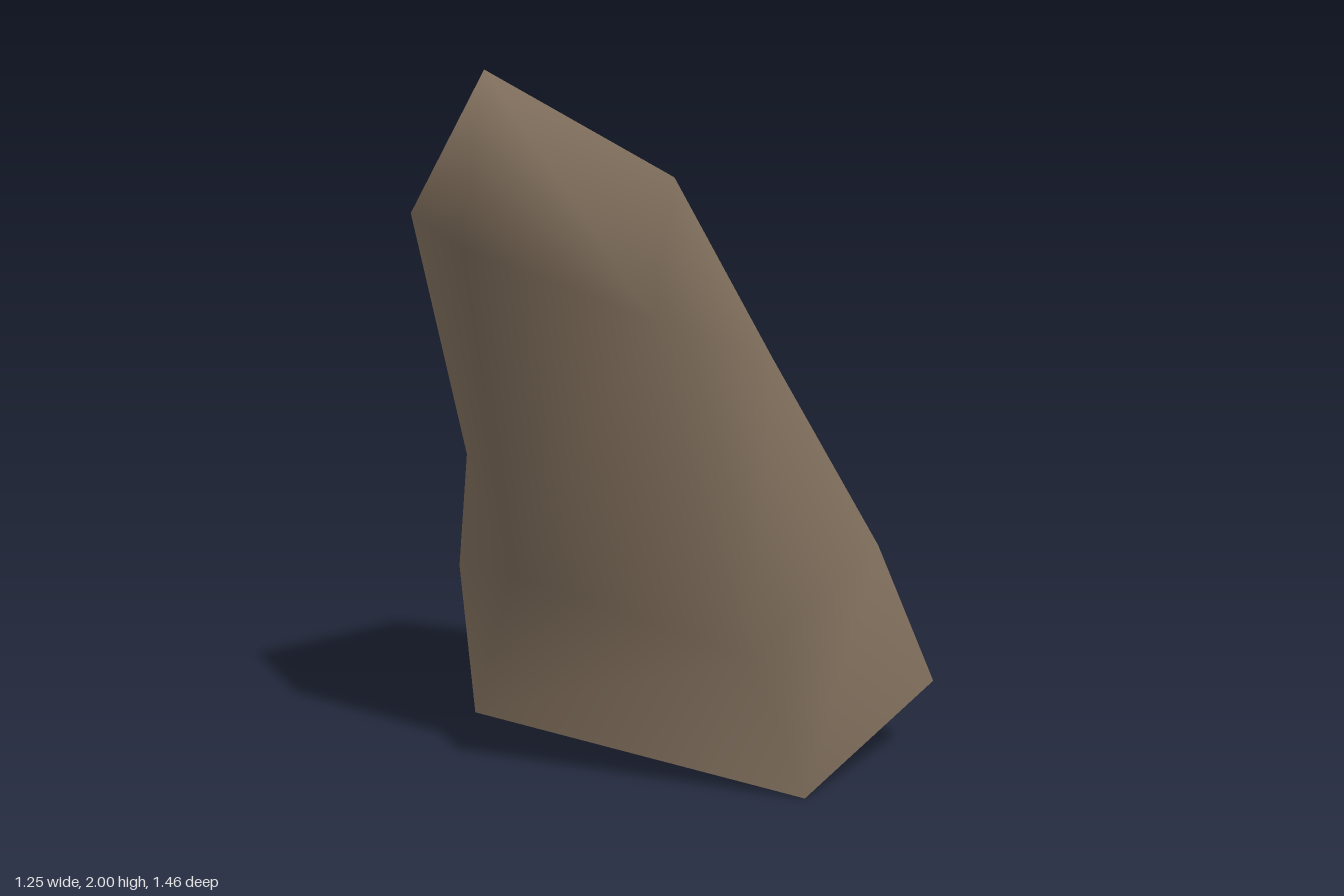
import * as THREE from 'three';

// Six-sided cross-sections, listed anticlockwise seen from above, from the open foot up
const sections = [
  [[-0.21, 0.15, 0.37], [0.59, 0, -0.14], [0.59, 0.22, -0.65], [0.22, 0.42, -0.73], [-0.63, 0.67, -0.41], [-0.61, 0.44, 0.115]],
  [[0.03, 0.62, 0.42], [0.54, 0.42, 0.02], [0.625, 0.68, -0.37], [0.22, 0.88, -0.44], [-0.3, 1.0, -0.18], [-0.31, 0.87, 0.31]],
  [[0.23, 1.56, 0.725], [0.6, 1.4, 0.43], [0.585, 1.24, 0], [0.2, 1.27, -0.12], [-0.21, 1.46, 0.07], [-0.12, 1.6, 0.625]],
];
// Two peaks of the slanted tip
const peaks = [[0.28, 2, 0.69], [0.59, 1.74, 0.35]];

function createShell() {
  const n = 6;
  const index = [];
  // Walls between neighbouring sections
  for (let r = 0; r < sections.length - 1; r++) {
    for (let i = 0; i < n; i++) {
      const a = r * n + i;
      const b = r * n + (i + 1) % n;
      index.push(a, b, b + n, a, b + n, a + n);
    }
  }
  // Tip: the top section closes onto the ridge between the peaks
  const top = (sections.length - 1) * n;
  const high = sections.length * n;
  const low = high + 1;
  for (const i of [5, 0]) index.push(top + i, top + (i + 1) % n, high);
  for (const i of [1, 2, 3]) index.push(top + i, top + i + 1, low);
  index.push(top + 1, low, high);
  index.push(top + 4, top + 5, high);
  index.push(low, top + 4, high);

  const geometry = new THREE.BufferGeometry();
  const points = [...sections.flat(), ...peaks].flat();
  geometry.setAttribute('position', new THREE.Float32BufferAttribute(points, 3));
  geometry.setIndex(index);
  geometry.computeVertexNormals();
  return geometry;
}

export function createModel() {
  const group = new THREE.Group();
  group.name = 'hollowStump';
  const brown = new THREE.MeshStandardMaterial({ color: 0x84725f, side: THREE.DoubleSide });
  brown.name = 'dull brown';
  const shell = new THREE.Mesh(createShell(), brown);
  shell.name = 'shell';
  group.add(shell);
  return group;
}
